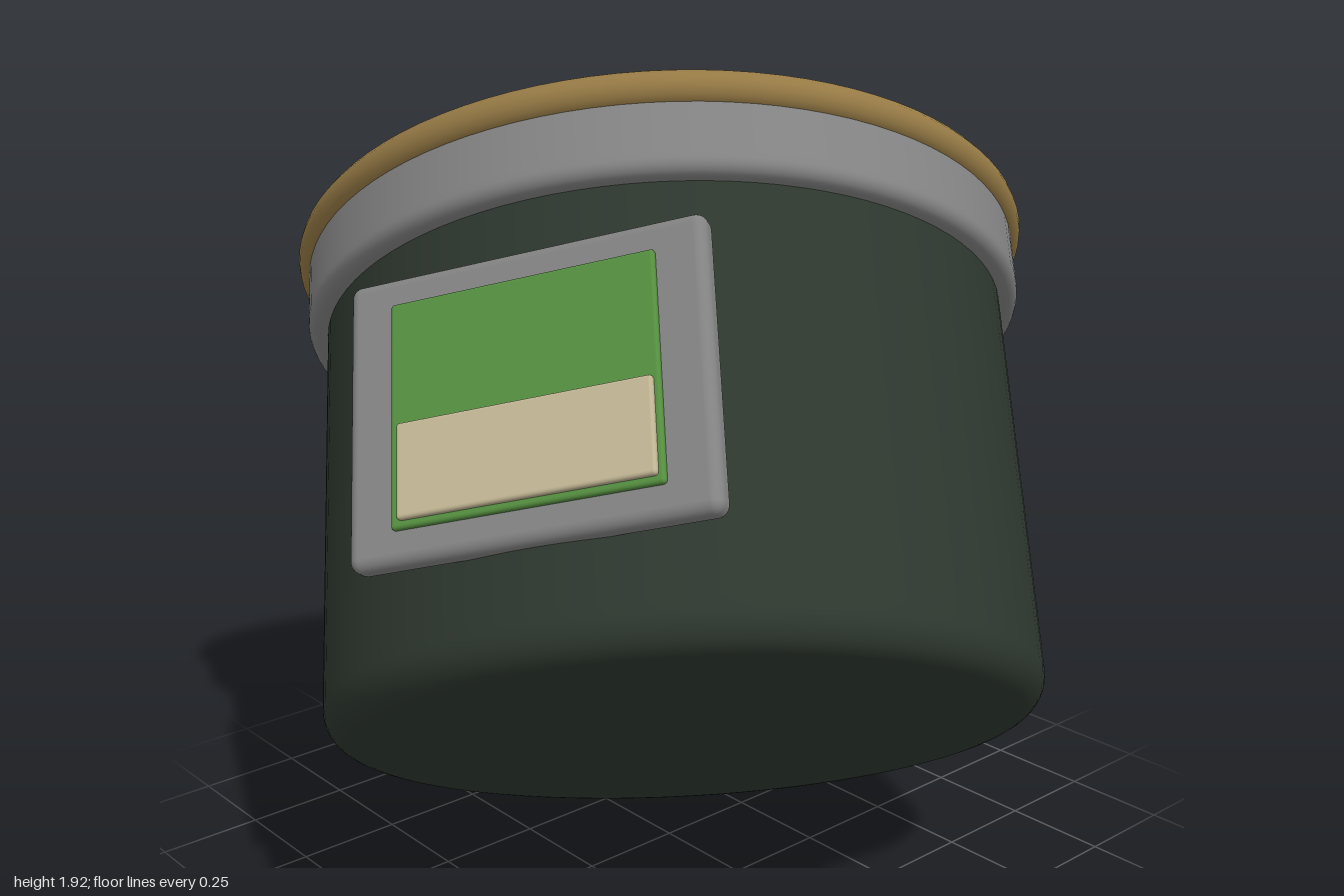
import * as THREE from 'three';
import { RoundedBoxGeometry } from 'three/addons/geometries/RoundedBoxGeometry.js';

function material(name, color) {
  const m = new THREE.MeshStandardMaterial({ color });
  m.name = name;
  return m;
}

// Quarter-circle fillet running from the underside to the wall.
function fillet(radius, y, r, steps = 8) {
  const pts = [];
  for (let i = 0; i <= steps; i++) {
    const a = (i / steps) * Math.PI / 2;
    pts.push(new THREE.Vector2(radius - r + r * Math.sin(a), y + r - r * Math.cos(a)));
  }
  return pts;
}

const v2 = (x, y) => new THREE.Vector2(x, y);

export function createModel() {
  const darkGreen = material('dark green', 0x2d372e);
  const grey = material('grey', 0x828382);
  const lidGrey = material('lid grey', 0x838682);
  const gold = material('gold', 0x967a45);
  const green = material('leaf green', 0x558f40);
  const beige = material('beige', 0xc1b593);

  const model = new THREE.Group();
  model.name = 'tiltedTub';
  const tub = new THREE.Group();
  tub.name = 'tub';
  model.add(tub);

  function add(name, geometry, mat, x = 0, y = 0, z = 0) {
    const mesh = new THREE.Mesh(geometry, mat);
    mesh.name = name;
    mesh.position.set(x, y, z);
    tub.add(mesh);
    return mesh;
  }

  // Body with a rounded bottom edge
  add('body', new THREE.LatheGeometry(
    [v2(0, 0), v2(0.7, 0), ...fillet(0.8, 0, 0.075), v2(0.8, 0.1), v2(0.8, 1.1)], 96), darkGreen);

  // Collar band under the rim
  add('collar', new THREE.LatheGeometry(
    [v2(0.78, 0.965), ...fillet(0.845, 0.965, 0.03, 5), v2(0.845, 1.01), v2(0.845, 1.155)], 96), grey);

  // Rim ring and flat lid
  const rim = add('rim', new THREE.TorusGeometry(0.83, 0.04, 16, 96), gold, 0, 1.158, 0);
  rim.rotation.x = Math.PI / 2;
  const lid = add('lid', new THREE.CircleGeometry(0.82, 96), lidGrey, 0, 1.163, 0);
  lid.rotation.x = -Math.PI / 2;

  // Label: framed plate with two coloured panels
  const labelY = 0.532;
  add('labelFrame', new RoundedBoxGeometry(0.775, 0.615, 0.065, 4, 0.025), grey, 0, labelY, 0.8);
  add('labelPanel', new RoundedBoxGeometry(0.57, 0.48, 0.03, 3, 0.008), green, 0, labelY, 0.83);
  add('labelStrip', new RoundedBoxGeometry(0.54, 0.2, 0.03, 3, 0.008), beige, 0.003, labelY - 0.125, 0.843);

  // Tilt the whole tub: its axis leans left and back, the label faces forward and up
  const up = new THREE.Vector3(-0.49, 0.793, -0.362).normalize();
  const front = new THREE.Vector3(0.808, 0.245, -0.535).cross(up).normalize();
  const side = new THREE.Vector3().crossVectors(up, front);
  tub.quaternion.setFromRotationMatrix(new THREE.Matrix4().makeBasis(side, up, front));
  tub.position.set(0.331, 0.453, 0.239);

  return model;
}
